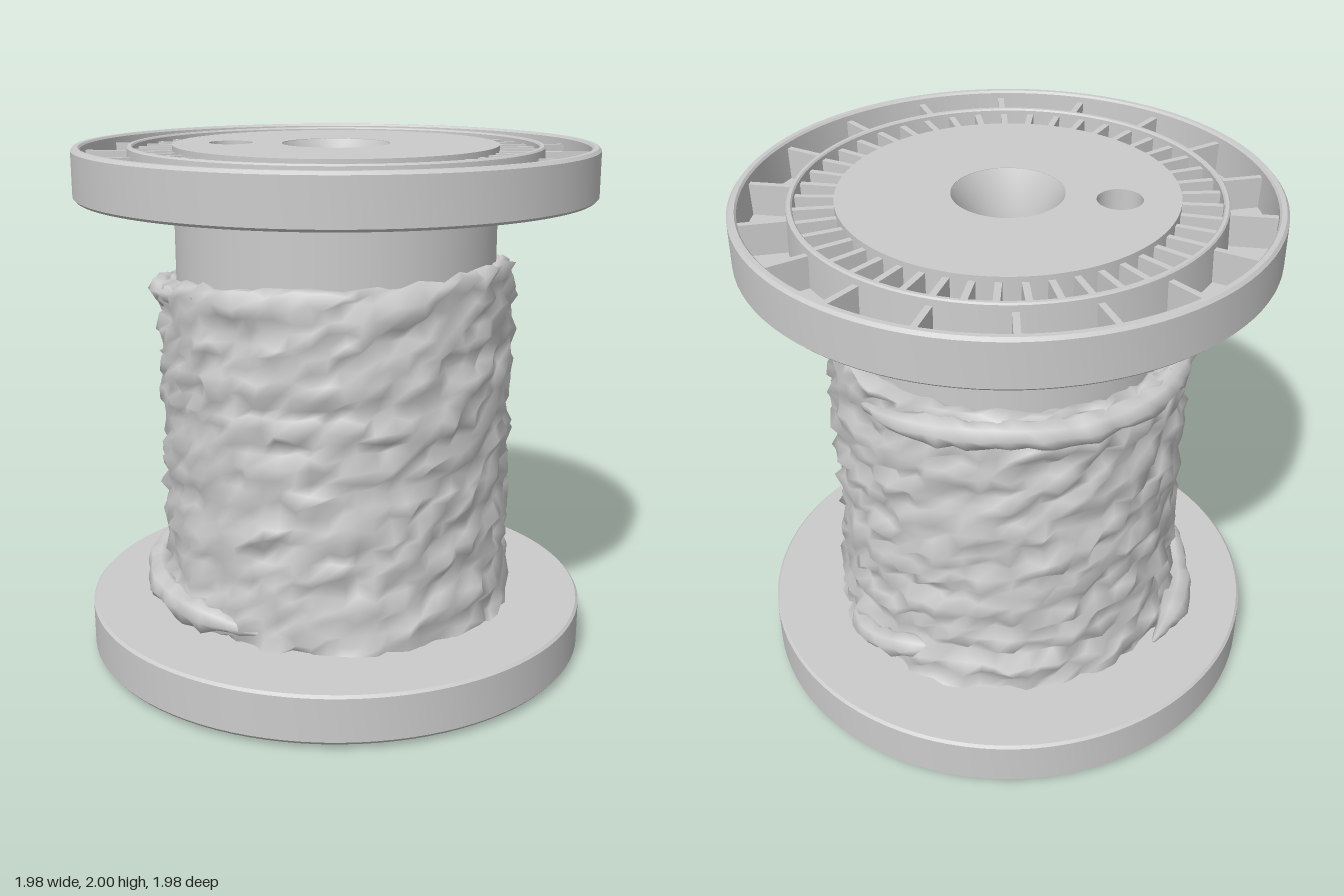
import * as THREE from 'three';
import { mergeVertices, toCreasedNormals } from 'three/addons/utils/BufferGeometryUtils.js';

const grey = new THREE.MeshStandardMaterial({ color: 0xcccccc });

function seeded(seed) {
  return () => {
    seed = (seed * 16807) % 2147483647;
    return seed / 2147483647;
  };
}

function add(parent, name, geometry, material = grey) {
  const mesh = new THREE.Mesh(geometry, material);
  mesh.name = name;
  parent.add(mesh);
  return mesh;
}

function lathe(points, segments = 96) {
  const g = new THREE.LatheGeometry(points.map(([r, y]) => new THREE.Vector2(r, y)), segments);
  return toCreasedNormals(g, 0.6);
}

// Weld a displaced surface and shade it smoothly
function smooth(geometry) {
  geometry.deleteAttribute('uv');
  geometry.deleteAttribute('normal');
  const g = mergeVertices(geometry, 1e-4);
  g.computeVertexNormals();
  return g;
}

// One flange: inner face at y = 0, open ribbed channels facing up
function makeFlange(name, holes, hubRise) {
  const group = new THREE.Group();
  group.name = name;
  const H = 0.19, floor = 0.04;

  // Dish with outer rim and middle ring
  add(group, 'rim', lathe([
    [0.6, 0], [0.98, 0], [0.99, 0.01], [0.99, H - 0.012], [0.98, H], [0.962, H], [0.955, H - 0.008],
    [0.95, floor], [0.79, floor], [0.785, H - 0.006], [0.78, H], [0.768, H], [0.763, H - 0.006],
    [0.76, floor], [0.6, floor],
  ]));

  // Radial ribs in both channels
  const ribs = (label, count, r0, r1, width, top, phase) => {
    const set = new THREE.Group();
    set.name = label;
    for (let i = 0; i < count; i++) {
      const rib = add(set, 'rib', new THREE.BoxGeometry(r1 - r0, top - floor + 0.01, width));
      const a = phase + (i / count) * Math.PI * 2;
      const r = (r0 + r1) / 2;
      rib.position.set(Math.cos(a) * r, (top + floor - 0.01) / 2, Math.sin(a) * r);
      rib.rotation.y = -a;
    }
    group.add(set);
  };
  ribs('outerRibs', 18, 0.775, 0.96, 0.024, H - 0.03, 0.07);
  ribs('innerRibs', 45, 0.6, 0.77, 0.024, H - 0.02, 0.08);

  // Hub plate with centre bore and drive holes
  const top = H + hubRise;
  const shape = new THREE.Shape().absarc(0, 0, 0.617, 0, Math.PI * 2);
  const cut = (x, z, r) => shape.holes.push(new THREE.Path().absarc(x, -z, r, 0, Math.PI * 2, true));
  cut(0, 0, 0.205);
  holes.forEach(([x, z]) => cut(x, z, 0.083));
  const plate = new THREE.ExtrudeGeometry(shape, { depth: top, bevelEnabled: false, curveSegments: 48 });
  plate.rotateX(-Math.PI / 2);
  add(group, 'hubPlate', toCreasedNormals(plate, 0.6));

  holes.forEach(([x, z]) => {
    const bottom = add(group, 'driveHoleFloor', new THREE.CircleGeometry(0.09, 32).rotateX(-Math.PI / 2));
    bottom.position.set(x, top - 0.1, z);
  });
  add(group, 'bore', lathe([
    [0.206, top], [0.14, top - 0.14], [0.14, top - 0.26], [0.105, top - 0.26], [0.105, top - 0.6], [0, top - 0.6],
  ], 48));
  return group;
}

// Rough wound body: rows of wraps with jittered vertices
function makeWinding() {
  const rand = seeded(4711);
  const around = 72, rows = 30;
  const positions = [], index = [];
  for (let j = 0; j <= rows + 2; j++) {
    for (let i = 0; i < around; i++) {
      const a = ((i + (rand() - 0.5) * 0.5) / around) * Math.PI * 2;
      const t = Math.min(j / rows, 1);
      const topY = 1.515 + 0.05 * Math.cos(a) + 0.01 * Math.sin(3 * a);
      let y = 0.2 + (topY - 0.2) * t + (rand() - 0.5) * 0.03;
      let r = 0.674 + (rand() - 0.5) * 0.05 + 0.008 * Math.sin(j * 2.1 + a);
      if (j < 4) r += 0.02;
      if (j > rows) {
        r = j === rows + 1 ? 0.64 : 0.605;
        y += j === rows + 1 ? 0.012 : -0.01;
      }
      positions.push(Math.sin(a) * r, y, Math.cos(a) * r);
      if (j > 0) {
        const n = (i + 1) % around;
        const p = (j - 1) * around, q = j * around;
        index.push(p + i, p + n, q + n, p + i, q + n, q + i);
      }
    }
  }
  const g = new THREE.BufferGeometry();
  g.setAttribute('position', new THREE.Float32BufferAttribute(positions, 3));
  g.setIndex(index);
  g.computeVertexNormals();
  return g;
}

// Lumpy loose strand; points are [angle in degrees from +z toward +x, radius, y]
function makeStrand(points, radius, seed) {
  const rand = seeded(seed);
  const curve = new THREE.CatmullRomCurve3(points.map(([deg, r, y]) => {
    const a = THREE.MathUtils.degToRad(deg);
    return new THREE.Vector3(Math.sin(a) * r, y, Math.cos(a) * r);
  }));
  const segments = Math.ceil(curve.getLength() / 0.05), sides = 8;
  const g = new THREE.TubeGeometry(curve, segments, radius, sides);
  const p = g.attributes.position;
  const v = new THREE.Vector3();
  for (let i = 0; i <= segments; i++) {
    const u = i / segments;
    const c = curve.getPointAt(u);
    const taper = Math.min(1, 0.1 + 5 * Math.min(u, 1 - u));
    let first = 1;
    for (let k = 0; k <= sides; k++) {
      const id = i * (sides + 1) + k;
      let s = taper * (0.75 + 0.5 * rand());
      if (k === 0) first = s;
      if (k === sides) s = first;
      v.fromBufferAttribute(p, id).sub(c).multiplyScalar(s).add(c);
      p.setXYZ(id, v.x, v.y, v.z);
    }
  }
  return smooth(g);
}

export function createModel() {
  const model = new THREE.Group();
  model.name = 'cableSpool';

  const upper = makeFlange('topFlange', [[-0.285, -0.28]], 0);
  upper.position.y = 1.81;
  const lower = makeFlange('bottomFlange', [[0.39, -0.04], [-0.38, 0.05]], 0.02);
  lower.rotation.x = Math.PI;
  lower.position.y = 0.21;
  model.add(upper, lower);

  const core = add(model, 'core', new THREE.CylinderGeometry(0.617, 0.617, 1.62, 96, 1, true));
  core.position.y = 1.01;

  add(model, 'winding', makeWinding());

  // Last wrap at the top, loose ends at the bottom
  const loose = grey.clone();
  loose.side = THREE.DoubleSide;
  const strands = new THREE.Group();
  strands.name = 'looseStrands';
  add(strands, 'topWrap', makeStrand(
    [[88, 0.67, 1.37], [108, 0.685, 1.4], [135, 0.69, 1.43], [165, 0.685, 1.42], [200, 0.675, 1.42], [235, 0.67, 1.45], [270, 0.66, 1.49]],
    0.052, 11), loose);
  add(strands, 'bottomLooseEnd', makeStrand(
    [[190, 0.8, 0.33], [202, 0.76, 0.3], [220, 0.73, 0.28], [245, 0.71, 0.28], [272, 0.7, 0.28], [295, 0.67, 0.26]],
    0.055, 23), loose);
  add(strands, 'bottomSideStrand', makeStrand(
    [[75, 0.67, 0.25], [92, 0.7, 0.27], [105, 0.7, 0.31], [120, 0.67, 0.35]],
    0.05, 37), loose);
  model.add(strands);

  return model;
}
